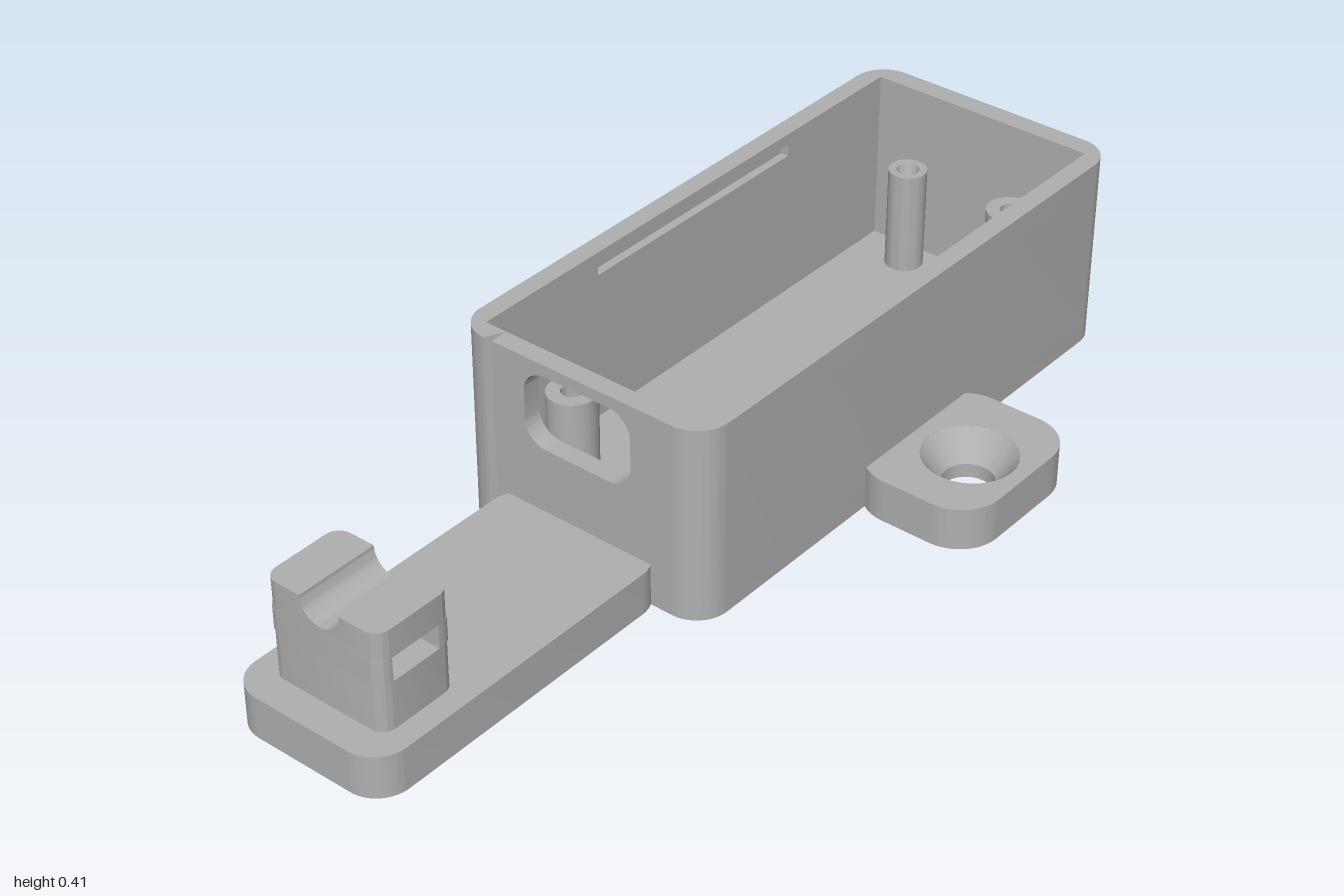
import * as THREE from 'three';
import { toCreasedNormals } from 'three/addons/utils/BufferGeometryUtils.js';

const PI = Math.PI;

export function createModel() {
  const model = new THREE.Group();
  model.name = 'sensorEnclosure';
  const grey = new THREE.MeshStandardMaterial({ color: 0xb0b0b0 });
  grey.name = 'grey plastic';

  const add = (name, geo, parent = model) => {
    const mesh = new THREE.Mesh(toCreasedNormals(geo, 0.6), grey);
    mesh.name = name;
    parent.add(mesh);
    return mesh;
  };
  const addGroup = (name) => {
    const g = new THREE.Group();
    g.name = name;
    model.add(g);
    return g;
  };

  const extrude = (shape, depth) =>
    new THREE.ExtrudeGeometry(shape, { depth, bevelEnabled: false, curveSegments: 14 });
  // plan shape (x, z) raised from y0 to y1
  const slab = (shape, y0, y1) => extrude(shape, y1 - y0).rotateX(PI / 2).translate(0, y1, 0);
  // side shape (z, y) extruded from x0 to x1
  const across = (shape, x0, x1) => extrude(shape, x1 - x0).rotateY(-PI / 2).translate(x1, 0, 0);

  // rectangle with a radius for its low-v corners and one for its high-v corners
  const rect = (u0, u1, v0, v1, rl = 0, rh = rl) => {
    const s = new THREE.Shape();
    const corner = (u, v, r, su, sv, a) => {
      if (r) s.absarc(u + su * r, v + sv * r, r, a, a + PI / 2);
      else s.lineTo(u, v);
    };
    s.moveTo(u0, v0 + rl);
    corner(u0, v0, rl, 1, 1, PI);
    corner(u1, v0, rl, -1, 1, 1.5 * PI);
    corner(u1, v1, rh, -1, -1, 0);
    corner(u0, v1, rh, 1, -1, PI / 2);
    s.closePath();
    return s;
  };
  const withHole = (shape, x, z, r) => {
    const h = new THREE.Path();
    h.absarc(x, z, r, 0, 2 * PI, true);
    shape.holes.push(h);
    return shape;
  };

  // box walls: a C in plan, open at the cable end, with optional lid grooves
  const wallShape = (groove) => {
    const s = new THREE.Shape();
    const n = 0.25 + groove;
    s.moveTo(-0.29, -0.2);
    s.absarc(-0.22, -0.22, 0.07, PI, 1.5 * PI);
    s.absarc(0.93, -0.22, 0.07, 1.5 * PI, 2 * PI);
    s.absarc(0.93, 0.22, 0.07, 0, PI / 2);
    s.absarc(-0.22, 0.22, 0.07, PI / 2, PI);
    s.lineTo(-0.29, 0.2);
    s.lineTo(-0.25, 0.2);
    s.lineTo(-0.25, 0.25);
    if (groove) [[0.06, 0.25], [0.06, n], [0.645, n], [0.645, 0.25]].forEach((p) => s.lineTo(...p));
    s.lineTo(0.955, 0.25);
    s.lineTo(0.955, -0.25);
    if (groove) [[0.645, -0.25], [0.645, -n], [0.06, -n], [0.06, -0.25]].forEach((p) => s.lineTo(...p));
    s.lineTo(-0.25, -0.25);
    s.lineTo(-0.25, -0.2);
    s.closePath();
    return s;
  };
  const floor = 0.045, top = 0.415;
  const box = addGroup('box');
  add('floor', slab(rect(-0.29, 1, -0.29, 0.29, 0.07), 0, floor), box);
  add('lowerWalls', slab(wallShape(0), floor, 0.365), box);
  add('groovedWalls', slab(wallShape(0.018), 0.365, 0.39), box);
  add('rim', slab(wallShape(0), 0.39, top), box);

  // end panel with the cable opening
  const panel = rect(-0.2, 0.2, floor, top);
  panel.holes.push(rect(-0.125, 0.125, 0.23, 0.39, 0.05));
  add('cableEndPanel', across(panel, -0.29, -0.25), box);

  // standoffs: wide ones with flat holes, narrow ones with tapered holes
  const posts = [[-0.155, -0.13, true], [0.895, 0.125, true], [-0.155, 0.125, false], [0.895, -0.13, false]];
  for (const [x, z, wide] of posts) {
    const r = wide ? 0.05 : 0.04, y = 0.267;
    const profile = wide
      ? [[r, floor], [r, y], [0.022, y], [0.022, y - 0.1], [0, y - 0.1]]
      : [[r, floor], [r, y], [0.024, y], [0.01, y - 0.05], [0, y - 0.05]];
    const geo = new THREE.LatheGeometry(profile.map((p) => new THREE.Vector2(...p)), 28);
    add(wide ? 'wideStandoff' : 'narrowStandoff', geo.translate(x, 0, z), box);
  }

  // countersunk mounting ears on both long sides
  for (const side of [1, -1]) {
    const ear = addGroup(side > 0 ? 'frontEar' : 'backEar');
    const outline = () => (side > 0 ? rect(0.18, 0.535, 0.252, 0.54, 0.09) : rect(0.18, 0.535, -0.54, -0.252, 0.09));
    const hx = 0.355, hz = side * 0.415, step = 0.03;
    add('earBase', slab(withHole(outline(), hx, hz, 0.052), 0, step), ear);
    add('earTop', slab(withHole(outline(), hx, hz, 0.095), step, 0.09), ear);
    const cone = new THREE.LatheGeometry([new THREE.Vector2(0.095, 0.09), new THREE.Vector2(0.052, step)], 40);
    add('countersink', cone.translate(hx, 0, hz), ear);
  }

  // arm
  add('arm', slab(rect(-1, -0.252, -0.18, 0.178, 0.07), 0, 0.09));

  // cable holder with a tie slot and a round channel on top
  const holder = addGroup('cableHolder');
  const x0 = -0.935, x1 = -0.757, z0 = -0.135, z1 = 0.13, r = 0.03;
  add('holderBase', slab(rect(x0, x1, z0, z1, r), 0.09, 0.19), holder);
  const cheek = (outer, inner) => {
    const d = Math.sign(inner - outer);
    const s = new THREE.Shape();
    s.moveTo(inner, z0);
    s.lineTo(outer + d * r, z0);
    s.quadraticCurveTo(outer, z0, outer, z0 + r);
    s.lineTo(outer, z1 - r);
    s.quadraticCurveTo(outer, z1, outer + d * r, z1);
    s.lineTo(inner, z1);
    s.closePath();
    return s;
  };
  add('slotCheek', slab(cheek(x0, -0.904), 0.19, 0.24), holder);
  add('slotCheek', slab(cheek(x1, -0.793), 0.19, 0.24), holder);
  add('slotRoof', slab(rect(x0, x1, z0, z1, r), 0.24, 0.25), holder);
  const a = -0.05, b = 0.042;
  add('backLip', slab(rect(x0, x1, z0, a, r, 0), 0.25, 0.3), holder);
  add('frontLip', slab(rect(x0, x1, b, z1, 0, r), 0.25, 0.3), holder);
  const channel = new THREE.Shape();
  channel.moveTo(a, 0.25);
  channel.lineTo(b, 0.25);
  channel.lineTo(b, 0.3);
  channel.absarc((a + b) / 2, 0.3, (b - a) / 2, 0, PI, true);
  channel.closePath();
  add('channel', across(channel, x0, x1), holder);

  return model;
}
